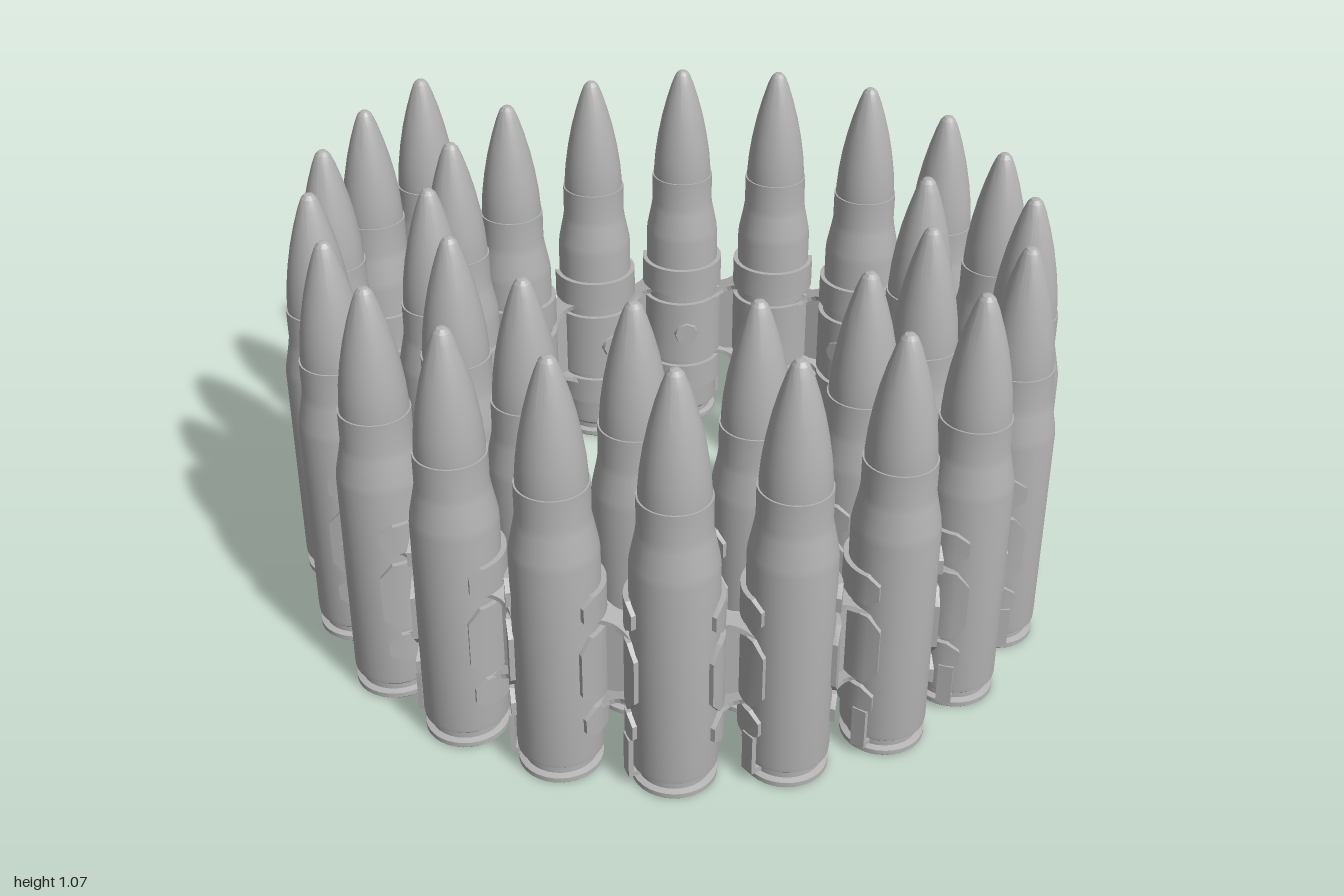
import * as THREE from 'three';
import { toCreasedNormals } from 'three/addons/utils/BufferGeometryUtils.js';

// Cartridge centres (x, z) along the coil, from the inner end to the outer end
const COIL = [
  [0.60, 0.18], [0.50, 0.43], [0.28, 0.587], [0.005, 0.635], [-0.253, 0.56],
  [-0.454, 0.386], [-0.565, 0.143], [-0.56, -0.12], [-0.454, -0.365], [-0.264, -0.555],
  [-0.01, -0.65], [0.248, -0.65], [0.49, -0.555], [0.686, -0.38], [0.805, -0.148],
  [0.84, 0.106], [0.795, 0.36], [0.67, 0.587], [0.48, 0.757], [0.253, 0.862],
  [0, 0.894], [-0.253, 0.852], [-0.485, 0.725], [-0.665, 0.545], [-0.79, 0.323],
  [-0.84, 0.08], [-0.834, -0.18], [-0.765, -0.418], [-0.623, -0.635], [-0.443, -0.80],
];
const EMPTY_LOOP = [-0.216, -0.912];
const BEYOND = [0.04, -0.98];

// Lathe with sharp edges kept at profile corners
function lathe(profile) {
  const points = profile.map(([r, y]) => new THREE.Vector2(r, y));
  return toCreasedNormals(new THREE.LatheGeometry(points, 32), 0.35);
}

// Open clip band around a cartridge, gap facing local +z, with chamfered ends
function clipBand(y0, y1, gap, chamfer) {
  const rIn = 0.099, rOut = 0.112, steps = 28, endArc = 0.28;
  const angles = [gap, gap + endArc];
  for (let i = 1; i < steps; i++) {
    angles.push(gap + endArc + (2 * (Math.PI - gap - endArc) * i) / steps);
  }
  angles.push(2 * Math.PI - gap - endArc, 2 * Math.PI - gap);
  const pos = [], index = [];
  angles.forEach((a, i) => {
    const inset = i === 0 || i === angles.length - 1 ? chamfer : 0;
    for (const [r, y] of [[rIn, y0 + inset], [rOut, y0 + inset], [rOut, y1 - inset], [rIn, y1 - inset]]) {
      pos.push(r * Math.sin(a), y, r * Math.cos(a));
    }
    if (i === 0) return;
    for (let k = 0; k < 4; k++) {
      const A = (i - 1) * 4 + k, B = (i - 1) * 4 + ((k + 1) % 4);
      index.push(A, A + 4, B + 4, A, B + 4, B);
    }
  });
  const e = (angles.length - 1) * 4;
  index.push(0, 1, 2, 0, 2, 3, e, e + 2, e + 1, e, e + 3, e + 2);
  const g = new THREE.BufferGeometry();
  g.setAttribute('position', new THREE.Float32BufferAttribute(pos, 3));
  g.setIndex(index);
  return toCreasedNormals(g, 0.5);
}

// Thin waisted plate that bridges two neighbouring bands
function bridgePlate(half) {
  const s = new THREE.Shape();
  s.moveTo(-half, -0.065);
  s.quadraticCurveTo(0, 0.005, half, -0.065);
  s.lineTo(half, 0.055);
  s.quadraticCurveTo(0, -0.005, -half, 0.055);
  const g = new THREE.ExtrudeGeometry(s, { depth: 0.012, bevelEnabled: false, curveSegments: 8 });
  return g.rotateX(Math.PI / 2);
}

export function createModel() {
  const model = new THREE.Group();
  model.name = 'coiledCartridgeBelt';
  const metal = new THREE.MeshStandardMaterial({ color: 0xb2b2b2 });
  metal.name = 'greyMetal';

  const add = (parent, name, geometry, x = 0, y = 0, z = 0) => {
    const m = new THREE.Mesh(geometry, metal);
    m.name = name;
    m.position.set(x, y, z);
    parent.add(m);
    return m;
  };

  const caseGeo = lathe([
    [0, 0.004], [0.045, 0.004], [0.046, 0.012], [0.051, 0.012], [0.052, 0], [0.094, 0],
    [0.098, 0.004], [0.098, 0.016], [0.084, 0.02], [0.084, 0.034], [0.099, 0.048],
    [0.1, 0.06], [0.1, 0.585], [0.098, 0.605], [0.086, 0.665], [0.083, 0.685],
    [0.083, 0.762], [0.077, 0.762],
  ]);
  const bulletGeo = lathe([
    [0.079, 0.755], [0.079, 0.775], [0.075, 0.825], [0.067, 0.88], [0.056, 0.935],
    [0.043, 0.985], [0.029, 1.03], [0.019, 1.055], [0.011, 1.064], [0, 1.067],
  ]);
  const middleGeo = clipBand(0.215, 0.4, 0.88, 0.035);
  const upperGeo = clipBand(0.43, 0.507, 0.95, 0.02);
  const lowerGeo = clipBand(0.122, 0.198, 0.95, 0.02);
  const dimpleGeo = new THREE.CylinderGeometry(0.032, 0.038, 0.02, 8).rotateX(-Math.PI / 2);
  const tabGeo = new THREE.BoxGeometry(0.035, 0.1, 0.012);
  const hookGeo = new THREE.BoxGeometry(0.035, 0.012, 0.03);

  const stations = [...COIL, EMPTY_LOOP];
  const at = (i) => (i > 30 ? BEYOND : stations[Math.max(i, 0)]);

  stations.forEach(([x, z], i) => {
    // Local +z points out of the coil, local -x points along the belt
    const [ax, az] = at(i - 1), [bx, bz] = at(i + 1);
    const station = new THREE.Group();
    station.name = i < 30 ? 'cartridge' : 'emptyLoop';
    station.position.set(x, 0, z);
    station.rotation.y = Math.atan2(bz - az, ax - bx);
    model.add(station);

    if (i < 30) {
      add(station, 'case', caseGeo);
      add(station, 'bullet', bulletGeo);
      add(station, 'middleBand', middleGeo);
      add(station, 'bandDimple', dimpleGeo, 0, 0.307, -0.107);
    }
    if (i === 0) return;

    // Paired bands of the previous link, with the hook that reaches the rim groove
    add(station, 'upperBand', upperGeo);
    add(station, 'lowerBand', lowerGeo);
    const a = -1.2;
    const tab = add(station, 'rimTab', tabGeo, 0.109 * Math.sin(a), 0.085, 0.109 * Math.cos(a));
    const hook = add(station, 'rimHook', hookGeo, 0.1 * Math.sin(a), 0.034, 0.1 * Math.cos(a));
    tab.rotation.y = hook.rotation.y = a;

    // Bridge from the previous cartridge to this one
    const dx = x - ax, dz = z - az, half = Math.hypot(dx, dz) / 2 - 0.078;
    const bridge = new THREE.Group();
    bridge.name = 'linkBridge';
    bridge.position.set((x + ax) / 2, 0, (z + az) / 2);
    bridge.rotation.y = Math.atan2(dz, -dx);
    model.add(bridge);
    const plate = bridgePlate(half);
    add(bridge, 'upperBridge', plate, 0, 0.42, 0).rotation.z = -0.42;
    add(bridge, 'lowerBridge', plate, 0, 0.208, 0).rotation.z = 0.35;
    add(bridge, 'bridgeWeb', new THREE.BoxGeometry(half * 2, 0.2, 0.012), 0, 0.31, -0.006);
  });

  return model;
}
